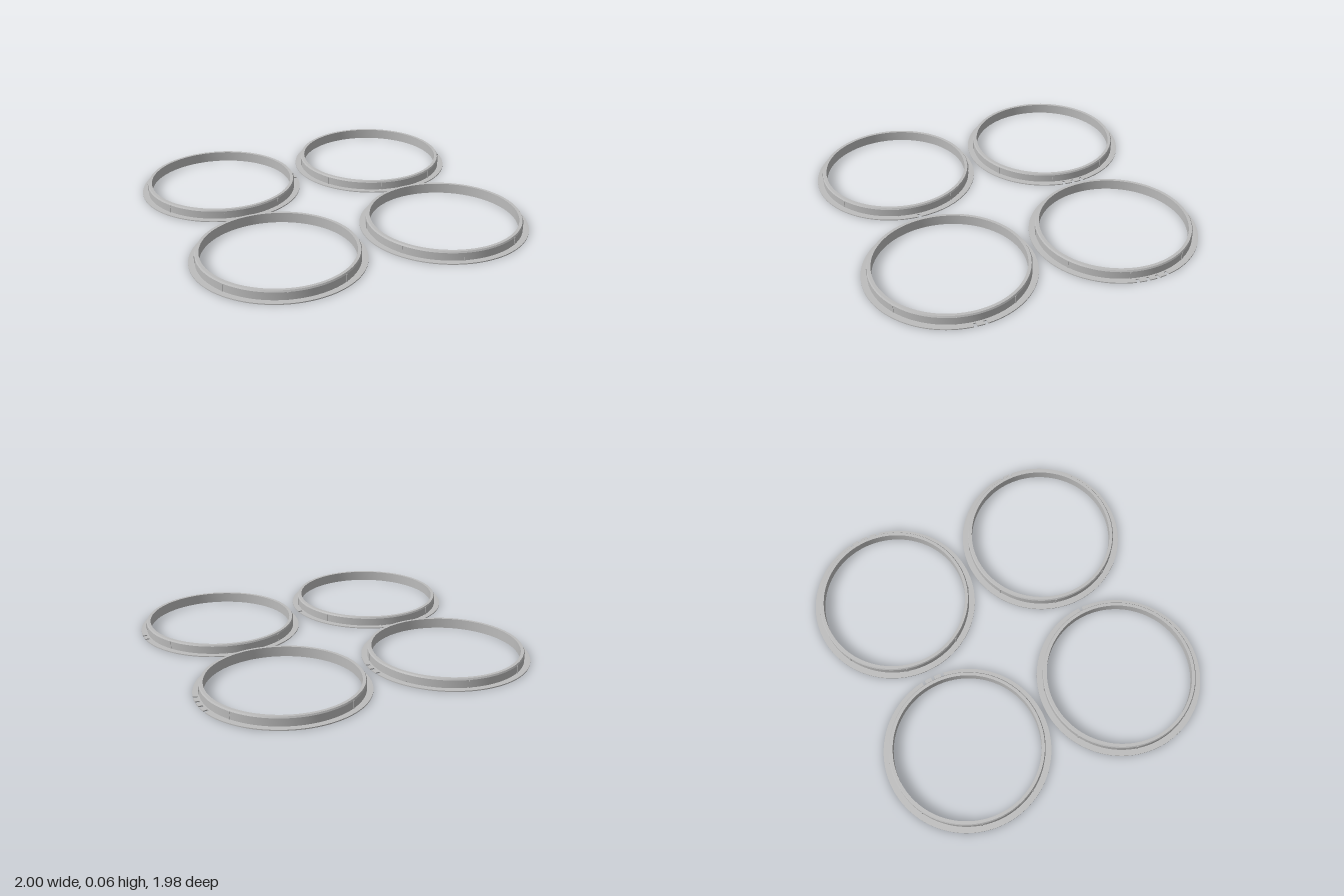
import * as THREE from 'three';
import { toCreasedNormals } from 'three/addons/utils/BufferGeometryUtils.js';

const R_IN = 0.43, R_WALL = 0.453, R_FLANGE = 0.488;
const T = 0.006, H = 0.06;      // flange thickness, total height
const SEG = 128;

// Flat washer with small index notches cut in its rim around the +x direction
function flangeGeometry(notches) {
  const pitch = 0.124, half = 0.019, rNotch = 0.463;
  const shape = new THREE.Shape();
  let a = -Math.PI / 4;
  shape.moveTo(R_FLANGE * Math.cos(a), R_FLANGE * Math.sin(a));
  for (let i = 0; i < notches; i++) {
    const c = (i - (notches - 1) / 2) * pitch;
    shape.absarc(0, 0, R_FLANGE, a, c - half, false);
    shape.absarc(0, 0, rNotch, c - half, c + half, false);
    a = c + half;
  }
  shape.absarc(0, 0, R_FLANGE, a, Math.PI * 1.75, false);
  const hole = new THREE.Path();
  hole.absarc(0, 0, R_IN, 0, Math.PI * 2, true);
  shape.holes.push(hole);
  const g = new THREE.ExtrudeGeometry(shape, { depth: T, bevelEnabled: false, curveSegments: 64 });
  g.rotateX(-Math.PI / 2);
  return toCreasedNormals(g, 0.5);
}

// Upright collar with a chamfered top outer edge
function wallGeometry() {
  const profile = [
    [R_WALL, T], [R_WALL, H - 0.009], [R_WALL - 0.005, H], [R_IN, H], [R_IN, T],
  ].map(([r, y]) => new THREE.Vector2(r, y));
  return toCreasedNormals(new THREE.LatheGeometry(profile, SEG), 0.4);
}

export function createModel() {
  const grey = new THREE.MeshStandardMaterial({ color: 0xbcbcbc });
  grey.name = 'grey plastic';
  const model = new THREE.Group();
  model.name = 'ringSet';

  const wallGeo = wallGeometry();
  const ribHeight = H - 0.009 - T;
  const ribGeo = new THREE.BoxGeometry(0.009, ribHeight, 0.01);

  const add = (parent, geo, name) => {
    const mesh = new THREE.Mesh(geo, grey);
    mesh.name = name;
    parent.add(mesh);
    return mesh;
  };

  // Four rings, told apart by the number of notches
  const layout = [[-0.512, 0.5, 1], [0.512, 0.5, 2], [-0.512, -0.5, 3], [0.512, -0.5, 4]];
  for (const [x, z, notches] of layout) {
    const ring = new THREE.Group();
    ring.name = `ring${notches}`;
    ring.position.set(x, 0, z);
    add(ring, flangeGeometry(notches), 'flange');
    add(ring, wallGeo, 'collar');
    // Eight slim grip ribs around the collar
    for (let k = 0; k < 8; k++) {
      const a = Math.PI / 6 + k * Math.PI / 4;
      const rib = add(ring, ribGeo, 'rib');
      rib.position.set(Math.sin(a) * (R_WALL - 0.002), T + ribHeight / 2, Math.cos(a) * (R_WALL - 0.002));
      rib.rotation.y = a;
    }
    model.add(ring);
  }
  return model;
}
